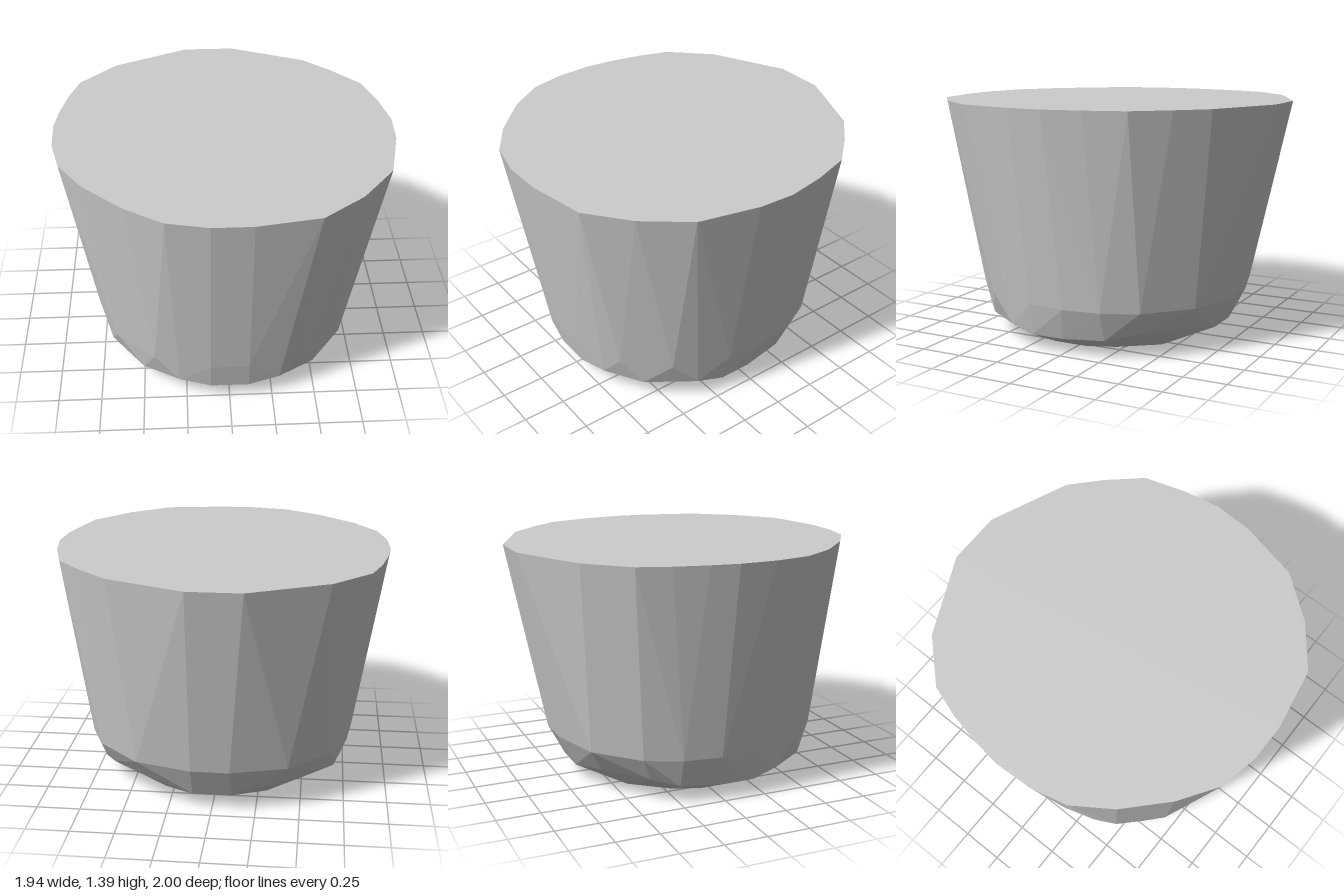
import * as THREE from 'three';
import { ConvexGeometry } from 'three/addons/geometries/ConvexGeometry.js';

// Irregular rim outline, as x, z pairs
const rim = [
  [-0.2, -1], [0.1, -1], [0.54, -0.81], [0.7, -0.66], [0.86, -0.48], [0.93, -0.25],
  [0.97, -0.03], [0.96, 0.18], [0.88, 0.52], [0.69, 0.76], [0.46, 0.94], [0.11, 1],
  [-0.11, 1], [-0.34, 0.95], [-0.55, 0.81], [-0.77, 0.6], [-0.91, 0.39], [-0.96, 0.18],
  [-0.97, -0.04], [-0.95, -0.2], [-0.91, -0.39], [-0.85, -0.57], [-0.64, -0.79],
];

// Lower rings are symmetric: right half only, as x, y, z
const shoulder = [
  [0.11, 0.28, 0.81], [0.43, 0.28, 0.71], [0.65, 0.28, 0.5], [0.77, 0.28, 0.18],
  [0.79, 0.28, -0.04], [0.76, 0.28, -0.26], [0.67, 0.28, -0.46], [0.43, 0.28, -0.68],
  [0.11, 0.28, -0.77],
];
const bevel = [
  [0.11, 0.1, 0.77], [0.29, 0.13, 0.74], [0.5, 0.115, 0.6], [0.69, 0.125, 0.35],
  [0.72, 0.09, 0.19], [0.72, 0.09, 0], [0.69, 0.105, -0.25], [0.61, 0.14, -0.4],
  [0.36, 0.14, -0.6], [0.11, 0.09, -0.67],
];
const base = [
  [0.11, 0.02, 0.6], [0.32, 0.01, 0.52], [0.47, 0, 0.36], [0.54, 0.005, 0.15],
  [0.54, 0.005, -0.05], [0.49, 0.01, -0.22], [0.3, 0, -0.42], [0.1, 0.005, -0.47],
];

const mirrored = (ring) => ring.flatMap(([x, y, z]) => [
  new THREE.Vector3(x, y, z), new THREE.Vector3(-x, y, z),
]);

export function createModel() {
  const group = new THREE.Group();
  group.name = 'facetedCup';

  // Solid faceted body wrapped around the four rings
  const points = [
    ...rim.map(([x, z]) => new THREE.Vector3(x, 1.39, z)),
    ...[shoulder, bevel, base].flatMap(mirrored),
  ];
  const material = new THREE.MeshStandardMaterial({ color: 0xcccccc, flatShading: true });
  const body = new THREE.Mesh(new ConvexGeometry(points), material);
  body.name = 'body';
  group.add(body);
  return group;
}
